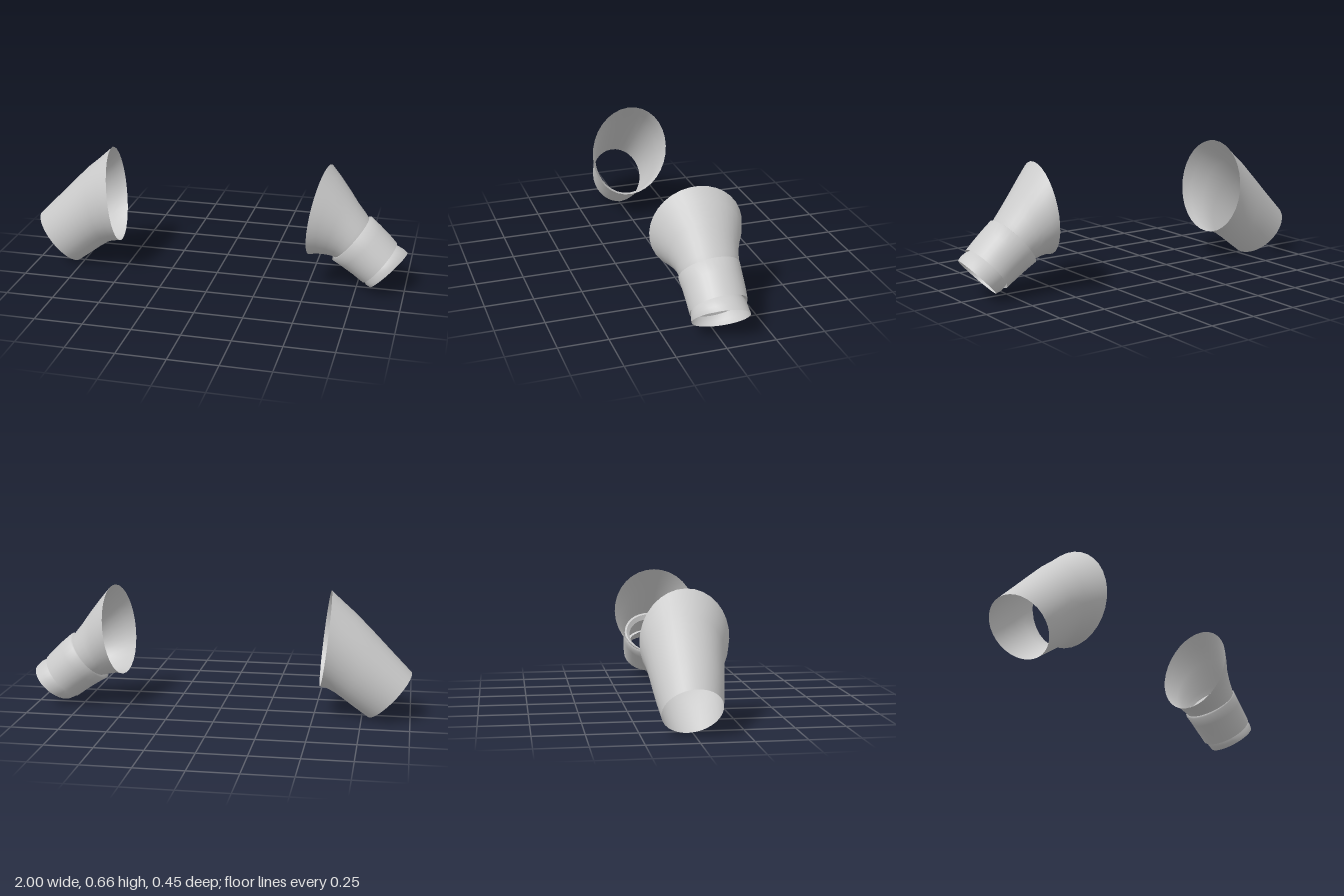
import * as THREE from 'three';

const SIDES = 32;

// Each ring: [topX, topY, bottomX, bottomY, frontZ, backZ, x shift of the front edge]
function loft(name, rings, material, mirror = 1) {
  const positions = [];
  const index = [];
  for (const [tx, ty, bx, by, zf, zb, skew = 0] of rings) {
    for (let j = 0; j < SIDES; j++) {
      const a = (j / SIDES) * Math.PI * 2;
      const c = Math.cos(a);
      const s = Math.sin(a);
      positions.push(
        mirror * ((tx + bx) / 2 + c * (tx - bx) / 2 + s * skew),
        (ty + by) / 2 + c * (ty - by) / 2,
        (zf + zb) / 2 + s * (zf - zb) / 2
      );
    }
  }
  for (let i = 0; i < rings.length - 1; i++) {
    for (let j = 0; j < SIDES; j++) {
      const k = (j + 1) % SIDES;
      const a = i * SIDES + j;
      const b = i * SIDES + k;
      const c = a + SIDES;
      const d = b + SIDES;
      if (mirror > 0) index.push(a, b, c, b, d, c);
      else index.push(a, c, b, b, c, d);
    }
  }
  const geometry = new THREE.BufferGeometry();
  geometry.setAttribute('position', new THREE.Float32BufferAttribute(positions, 3));
  geometry.setIndex(index);
  geometry.computeVertexNormals();
  const mesh = new THREE.Mesh(geometry, material);
  mesh.name = name;
  return mesh;
}

export function createModel() {
  const cloth = new THREE.MeshStandardMaterial({ color: 0xcccccc, side: THREE.DoubleSide });
  cloth.name = 'grey cloth';
  const model = new THREE.Group();
  model.name = 'sleeves';

  // Plain sleeve on the right arm
  const right = new THREE.Group();
  right.name = 'rightSleeve';
  right.add(loft('rightSleeveCloth', [
    [0.58, 0.66, 0.525, 0.155, 0.22, -0.225, -0.022],
    [0.64, 0.605, 0.56, 0.15, 0.205, -0.215, -0.016],
    [0.71, 0.545, 0.605, 0.13, 0.175, -0.205, -0.008],
    [0.80, 0.455, 0.655, 0.095, 0.16, -0.195, -0.005],
    [0.90, 0.352, 0.715, 0.05, 0.147, -0.182, -0.01],
    [1.0, 0.25, 0.78, 0.003, 0.13, -0.165, -0.02],
  ], cloth, -1));

  // Rolled sleeve on the left arm
  const left = new THREE.Group();
  left.name = 'leftSleeve';
  left.add(
    loft('leftUpperSleeve', [
      [0.58, 0.655, 0.515, 0.18, 0.225, -0.23, -0.03],
      [0.63, 0.595, 0.55, 0.185, 0.2, -0.215, -0.024],
      [0.69, 0.52, 0.585, 0.18, 0.165, -0.19, -0.012],
      [0.74, 0.452, 0.61, 0.175, 0.145, -0.175],
      [0.78, 0.402, 0.63, 0.17, 0.138, -0.165],
      [0.80, 0.374, 0.645, 0.16, 0.132, -0.155],
    ], cloth),
    // Inner edge of the upper sleeve
    loft('leftInnerLip', [
      [0.80, 0.374, 0.645, 0.16, 0.132, -0.155],
      [0.80, 0.338, 0.678, 0.172, 0.108, -0.128],
    ], cloth),
    // Folded band, turned in at both ends
    loft('leftRolledBand', [
      [0.785, 0.37, 0.635, 0.178, 0.128, -0.148],
      [0.81, 0.385, 0.618, 0.152, 0.14, -0.165],
      [0.86, 0.342, 0.668, 0.122, 0.137, -0.16],
      [0.91, 0.294, 0.728, 0.083, 0.136, -0.156],
      [0.947, 0.255, 0.78, 0.045, 0.136, -0.15],
    ], cloth),
    loft('leftBandHem', [
      [0.947, 0.255, 0.78, 0.045, 0.136, -0.15],
      [0.925, 0.25, 0.785, 0.075, 0.12, -0.13],
    ], cloth),
    // Narrow cuff below the band
    loft('leftCuff', [
      [0.92, 0.25, 0.77, 0.08, 0.12, -0.13],
      [0.95, 0.242, 0.785, 0.056, 0.13, -0.138],
      [0.98, 0.226, 0.80, 0.036, 0.135, -0.14, -0.008],
      [1.0, 0.205, 0.825, 0.025, 0.135, -0.14, -0.02],
    ], cloth)
  );

  model.add(right, left);
  return model;
}
